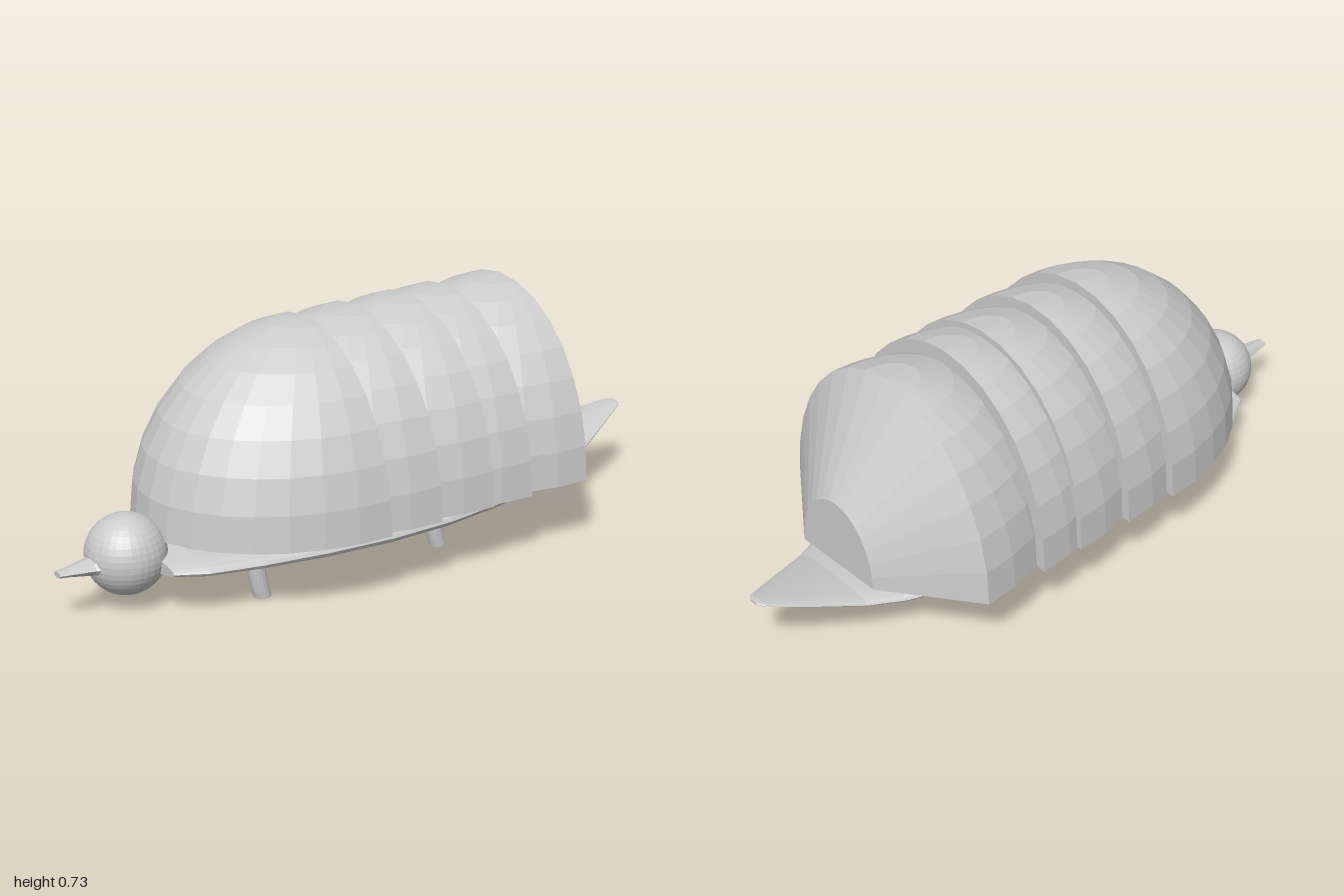
import * as THREE from 'three';
import { mergeGeometries } from 'three/addons/utils/BufferGeometryUtils.js';

const BASE = 0.195; // height of the shell rim
const W = 0.41, H = 0.53; // shell half width and height

const material = new THREE.MeshStandardMaterial({ color: 0xcccccc, flatShading: true });

function addMesh(parent, name, geometry) {
  const mesh = new THREE.Mesh(geometry, material);
  mesh.name = name;
  parent.add(mesh);
  return mesh;
}

// Loft closed rings along z, from front to back. Section: [z, halfWidth, bottom, top].
// A half ring is an arch standing on a flat base.
function loft(sections, sides, half = false) {
  const count = half ? sides + 1 : sides;
  const pos = [], index = [];
  for (const [z, w, y0, y1] of sections) {
    for (let i = 0; i < count; i++) {
      const a = (i / sides) * Math.PI * (half ? 1 : 2);
      const y = half
        ? y0 + (y1 - y0) * Math.sin(a)
        : (y0 + y1) / 2 + ((y1 - y0) / 2) * Math.sin(a);
      pos.push(w * Math.cos(a), y, z);
    }
  }
  for (let s = 0; s < sections.length - 1; s++) {
    for (let i = 0; i < count; i++) {
      const j = (i + 1) % count;
      const a = s * count + i, b = s * count + j;
      const c = a + count, d = b + count;
      index.push(a, c, b, b, c, d);
    }
  }
  const last = (sections.length - 1) * count;
  for (let i = 1; i < count - 1; i++) {
    index.push(0, i, i + 1, last, last + i + 1, last + i);
  }
  const g = new THREE.BufferGeometry();
  g.setAttribute('position', new THREE.Float32BufferAttribute(pos, 3));
  g.setIndex(index);
  g.computeVertexNormals();
  return g;
}

// Quarter ellipsoid with a flat back and a flat underside
function shellPlate() {
  const dome = new THREE.SphereGeometry(1, 16, 8, 0, Math.PI, 0, Math.PI / 2);
  const back = new THREE.CircleGeometry(1, 16, 0, Math.PI).rotateY(Math.PI);
  const under = new THREE.CircleGeometry(1, 16, 0, Math.PI).rotateX(Math.PI / 2);
  return mergeGeometries([dome, back, under]).scale(W, H, H);
}

// Short leg, bending backwards towards the foot
function legGeometry() {
  const g = new THREE.CylinderGeometry(0.026, 0.026, 0.13, 16, 6).translate(0, 0.065, 0);
  const p = g.attributes.position;
  for (let i = 0; i < p.count; i++) {
    const t = 1 - p.getY(i) / 0.13;
    p.setZ(i, p.getZ(i) - 0.02 * t * t);
  }
  g.computeVertexNormals();
  return g;
}

export function createModel() {
  const model = new THREE.Group();
  model.name = 'armouredAnimal';

  // Overlapping shell plates
  const shell = new THREE.Group();
  shell.name = 'shell';
  model.add(shell);
  const plate = shellPlate();
  [0.185, 0.01, -0.175, -0.315, -0.52].forEach((z, i) => {
    addMesh(shell, `shellPlate${i + 1}`, plate).position.set(0, BASE, z);
  });

  // Tapered rear of the shell
  addMesh(shell, 'shellRear', loft([
    [-0.52, W, BASE, BASE + H],
    [-0.71, 0.15, BASE, 0.405],
  ], 16, true));

  // Flat body running out into the raised tail
  addMesh(model, 'bodyAndTail', loft([
    [0.735, 0.165, 0.112, 0.16],
    [0.65, 0.215, 0.103, 0.17],
    [0.5, 0.258, 0.095, 0.18],
    [0.3, 0.297, 0.087, 0.19],
    [0.1, 0.316, 0.082, 0.193],
    [-0.1, 0.316, 0.082, 0.193],
    [-0.3, 0.292, 0.087, 0.19],
    [-0.5, 0.243, 0.098, 0.18],
    [-0.63, 0.195, 0.109, 0.168],
    [-0.73, 0.147, 0.123, 0.172],
    [-0.85, 0.095, 0.163, 0.197],
    [-0.96, 0.045, 0.203, 0.221],
    [-0.985, 0.034, 0.213, 0.226],
    [-1, 0.014, 0.219, 0.226],
  ], 32));

  // Head and pointed snout
  const head = new THREE.Group();
  head.name = 'head';
  model.add(head);
  addMesh(head, 'skull', new THREE.SphereGeometry(0.115, 32, 20)).position.set(0, 0.158, 0.785);
  addMesh(head, 'snout', loft([
    [1, 0.018, 0.14, 0.158],
    [0.97, 0.024, 0.137, 0.16],
    [0.9, 0.04, 0.124, 0.17],
    [0.84, 0.072, 0.112, 0.188],
  ], 8));

  // Four legs
  const leg = legGeometry();
  for (const [end, z] of [['front', 0.468], ['back', -0.15]]) {
    for (const [side, x] of [['Left', 0.161], ['Right', -0.161]]) {
      addMesh(model, `${end}${side}Leg`, leg).position.set(x, 0, z);
    }
  }
  return model;
}
